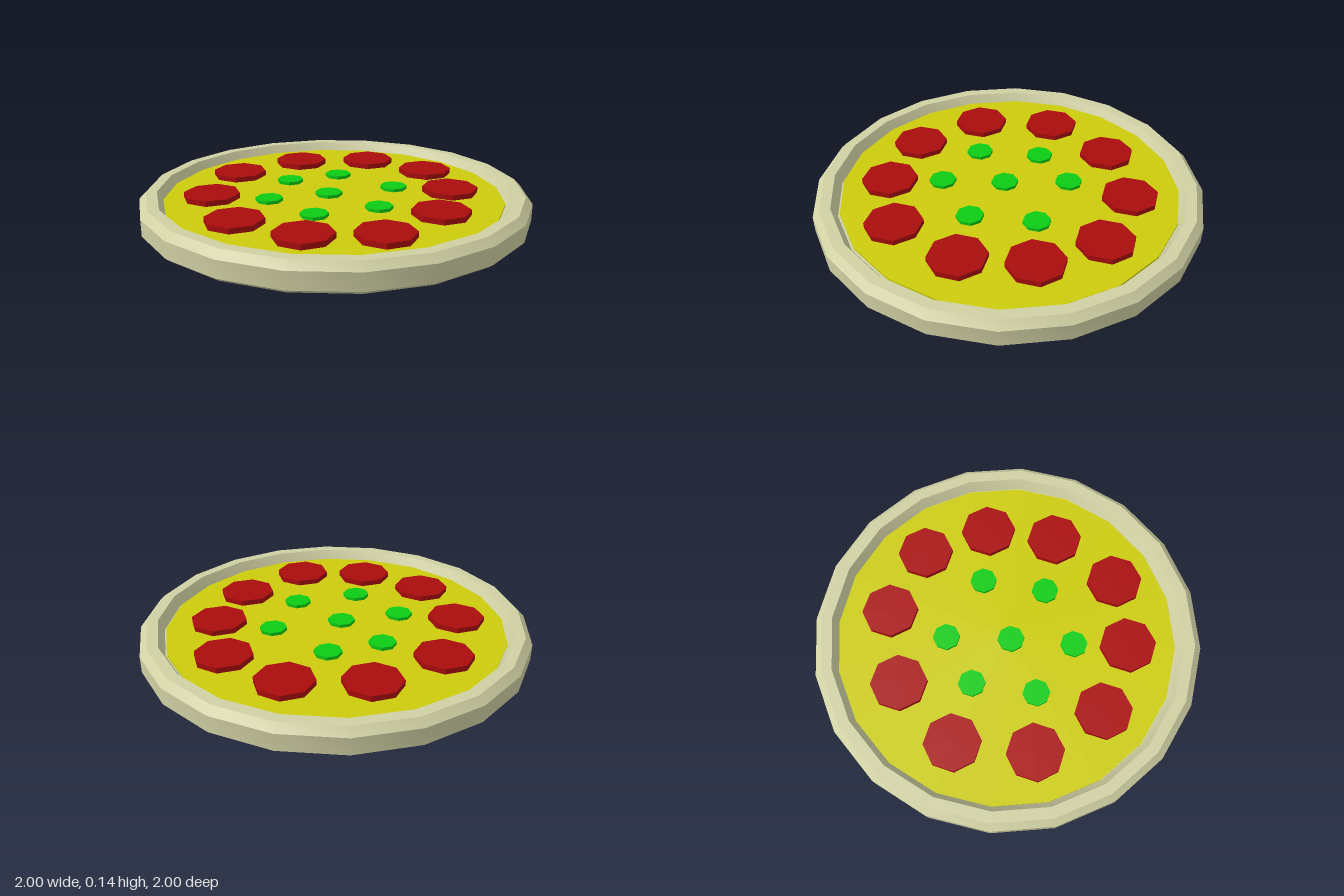
import * as THREE from 'three';
import { toCreasedNormals } from 'three/addons/utils/BufferGeometryUtils.js';

const SIDES = 20;

export function createModel() {
  const pizza = new THREE.Group();
  pizza.name = 'pizza';
  const mat = (color, flatShading = false) => new THREE.MeshStandardMaterial({ color, flatShading });
  const add = (name, geometry, material, x = 0, y = 0, z = 0) => {
    const mesh = new THREE.Mesh(geometry, material);
    mesh.name = name;
    mesh.position.set(x, y, z);
    pizza.add(mesh);
  };

  // Crust: closed profile from the underside, over the bevelled rim, to the floor
  const profile = [
    [0, 0], [0.975, 0], [1, 0.02], [1, 0.105], [0.965, 0.14],
    [0.91, 0.14], [0.88, 0.085], [0, 0.085],
  ].map(([r, y]) => new THREE.Vector2(r, y));
  add('crust', toCreasedNormals(new THREE.LatheGeometry(profile, SIDES), 0.4), mat(0xd0d0a4));

  // Cheese disc set inside the rim
  add('cheese', new THREE.CylinderGeometry(0.876, 0.876, 0.03, SIDES), mat(0xcccc0c), 0, 0.08, -0.008);

  // Toppings: octagonal slices lying on the cheese, as [x, z]
  const scatter = (name, radius, top, color, spots) => {
    const bottom = 0.085;
    const geometry = new THREE.CylinderGeometry(radius, radius, top - bottom, 8);
    const material = mat(color, true);
    spots.forEach(([x, z], i) => add(name + (i + 1), geometry, material, x, (top + bottom) / 2, z));
  };
  scatter('pepperoni', 0.145, 0.123, 0xaa0c0c, [
    [-0.17, -0.61], [0.24, -0.56], [0.545, -0.305], [0.635, 0.065], [0.465, 0.385],
    [0.16, 0.58], [-0.24, 0.595], [-0.515, 0.355], [-0.635, 0], [-0.51, -0.38],
  ]);
  scatter('pepperSlice', 0.07, 0.112, 0x0ccc14, [
    [-0.04, -0.32], [0.225, -0.22], [-0.32, -0.145], [-0.035, -0.01],
    [0.29, 0.145], [-0.3, 0.18], [0.005, 0.315],
  ]);

  return pizza;
}
